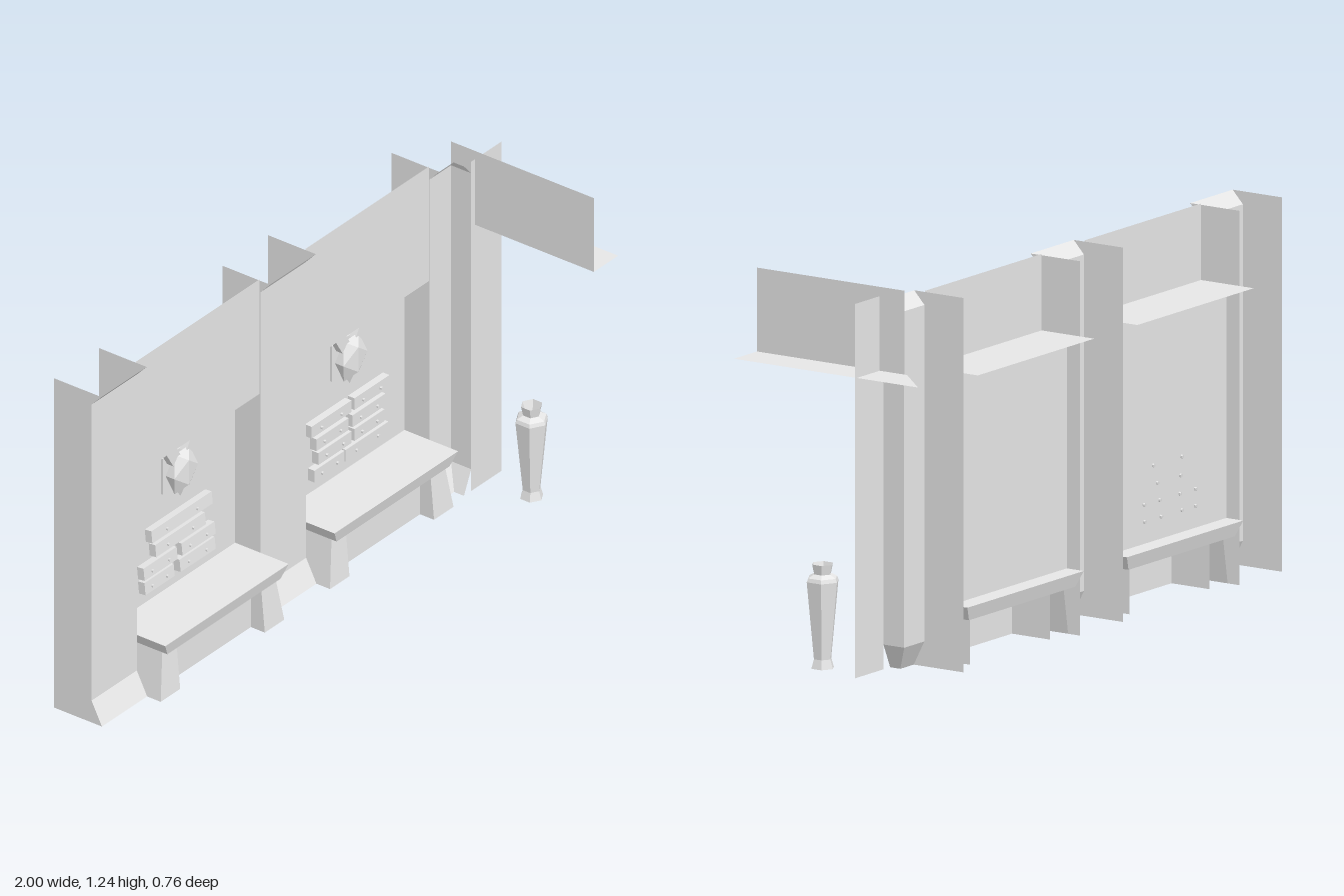
import * as THREE from 'three';

const grey = new THREE.MeshStandardMaterial({ color: 0xe6e6e6, side: THREE.DoubleSide });
grey.name = 'plainGrey';

const TOP = 1.205, WALL = -0.175, BACK = -0.275, REAR = -0.325;
// wall section as [z, y]: skirting, face, cornice
const SECTION = [[-0.134, 0], [WALL, 0.08], [WALL, 1.163], [-0.136, TOP]];

function add(parent, name, geometry, x = 0, y = 0, z = 0) {
  const mesh = new THREE.Mesh(geometry, grey);
  mesh.name = name;
  mesh.position.set(x, y, z);
  parent.add(mesh);
  return mesh;
}

function flat(geometry) {
  const g = geometry.index ? geometry.toNonIndexed() : geometry;
  g.computeVertexNormals();
  return g;
}

// open sheet made of four-cornered faces
function sheet(parent, name, quads) {
  const pos = [];
  for (const [a, b, c, d] of quads) pos.push(...a, ...b, ...c, ...a, ...c, ...d);
  const g = new THREE.BufferGeometry();
  g.setAttribute('position', new THREE.Float32BufferAttribute(pos, 3));
  return add(parent, name, flat(g));
}

// upright sheet facing front
const upright = (parent, name, x0, x1, y0, y1, z) =>
  sheet(parent, name, [[[x0, y0, z], [x1, y0, z], [x1, y1, z], [x0, y1, z]]]);

// level sheet facing up
const level = (parent, name, x0, x1, z0, z1, y) =>
  sheet(parent, name, [[[x0, y, z1], [x1, y, z1], [x1, y, z0], [x0, y, z0]]]);

// wall pier; ends gives its right edge at each section point
function pier(parent, x0, ends) {
  const quads = [];
  for (let i = 0; i < 3; i++) {
    const [z, y] = SECTION[i], [zz, yy] = SECTION[i + 1];
    quads.push([[x0, y, z], [ends[i], y, z], [ends[i + 1], yy, zz], [x0, yy, zz]]);
  }
  sheet(parent, 'wallPier', quads);
}

// side return running back from the wall face
function sideReturn(parent, x) {
  const shape = new THREE.Shape([...SECTION, [REAR, TOP], [REAR, 0]].map(p => new THREE.Vector2(...p)));
  add(parent, 'sideReturn', new THREE.ShapeGeometry(shape).rotateY(-Math.PI / 2), x);
}

function bench(parent, x0, x1) {
  const g = new THREE.Group();
  g.name = 'bench';
  parent.add(g);
  const ring = (y, i, zf, zb) => [[x0 + i, y, zf], [x1 - i, y, zf], [x1 - i, y, zb], [x0 + i, y, zb]];
  const t = ring(0.21, 0, -0.062, -0.34), b = ring(0.163, 0.027, -0.075, -0.327);
  const seat = [t, [...b].reverse()];
  for (let i = 0; i < 4; i++) {
    const j = (i + 1) % 4;
    seat.push([b[i], b[j], t[j], t[i]]);
  }
  sheet(g, 'benchSeat', seat);
  // flared legs, open at the back
  for (const [x, s] of [[x0, 1], [x1, -1]]) {
    const o = x + s * 0.027, n = x + s * 0.1;
    sheet(g, 'benchLeg', [
      [[x, 0, -0.08], [n, 0, -0.08], [n, 0.163, -0.095], [o, 0.163, -0.095]],
      [[x, 0, -0.08], [o, 0.163, -0.095], [o, 0.163, -0.28], [x, 0, -0.28]],
      [[n, 0, -0.08], [n, 0, -0.28], [n, 0.163, -0.28], [n, 0.163, -0.095]],
    ]);
  }
  upright(g, 'benchPanel', x0 + 0.1, x1 - 0.1, 0, 0.163, -0.135);
}

// horned wall ornament
function ornament(parent, x) {
  const g = new THREE.Group();
  g.name = 'wallOrnament';
  g.position.set(x, 0.635, BACK);
  parent.add(g);
  add(g, 'ornamentPlate', new THREE.BoxGeometry(0.13, 0.13, 0.008), 0, 0, 0.005);
  const head = add(g, 'ornamentHead', flat(new THREE.IcosahedronGeometry(1, 0)), 0, 0.005, 0.034);
  head.scale.set(0.072, 0.085, 0.033);
  const chin = add(g, 'ornamentChin', flat(new THREE.ConeGeometry(0.035, 0.05, 4)), 0, -0.068, 0.028);
  chin.rotation.x = Math.PI;
  chin.scale.z = 0.6;
  for (const s of [-1, 1]) {
    const horn = add(g, 'ornamentHorn', new THREE.BoxGeometry(0.045, 0.085, 0.025), s * 0.055, 0.092, 0.028);
    horn.rotation.z = -s * 0.55;
  }
}

// nailed plank on the niche back; nails reach back by the given length
function plank(parent, [x0, x1, y], tilt, reach) {
  const g = new THREE.Group();
  g.name = 'plank';
  g.position.set((x0 + x1) / 2, y, BACK + 0.017);
  g.rotation.x = tilt;
  parent.add(g);
  const w = x1 - x0;
  add(g, 'plankBoard', new THREE.BoxGeometry(w, 0.043, 0.026));
  for (const s of [-1, 1]) {
    const nail = new THREE.CylinderGeometry(0.006, 0.006, 0.02 + reach, 6).rotateX(Math.PI / 2);
    add(g, 'plankNail', flat(nail), s * w * 0.25, -0.004, (0.02 - reach) / 2);
  }
}

export function createModel() {
  const model = new THREE.Group();
  model.name = 'wallWithNiches';

  // piers between the niches
  const niches = [[-0.768, -0.134], [0.101, 0.735]];
  const stepX = [0.808, 0.845, 0.845, 0.808];
  pier(model, -1, Array(4).fill(niches[0][0]));
  pier(model, niches[0][1], Array(4).fill(niches[1][0]));
  pier(model, niches[1][1], stepX);
  for (const x of [-1, ...niches.flat()]) sideReturn(model, x);

  // forward step and end wall
  const step = [];
  for (let i = 0; i < 3; i++) {
    const [z, y] = SECTION[i], [zz, yy] = SECTION[i + 1];
    step.push([[stepX[i], y, z], [stepX[i], y, -0.095], [stepX[i + 1], yy, -0.095], [stepX[i + 1], yy, zz]]);
  }
  sheet(model, 'cornerStep', step);
  upright(model, 'endWall', 0.845, 1, 0, TOP, -0.095);

  // niches rise behind the header to a high soffit
  for (const [x0, x1] of niches) {
    upright(model, 'nicheHeader', x0, x1, 0.79, 1.209, WALL - 0.003);
    level(model, 'nicheSoffit', x0, x1, -0.38, WALL - 0.003, 0.963);
    upright(model, 'nicheBack', x0, x1, 0.165, 0.963, BACK);
    bench(model, x0, x1);
    ornament(model, (x0 + x1) / 2);
  }

  // planks as [left, right, height]
  const leftPlanks = [[-0.6, -0.29, 0.46], [-0.58, -0.325, 0.4], [-0.64, -0.47, 0.342],
    [-0.445, -0.275, 0.342], [-0.635, -0.485, 0.287], [-0.455, -0.275, 0.287]];
  const rightPlanks = [[0.22, 0.425, 0.455], [0.44, 0.62, 0.455], [0.245, 0.41, 0.397], [0.43, 0.6, 0.397],
    [0.255, 0.425, 0.342], [0.44, 0.595, 0.342], [0.235, 0.39, 0.287], [0.395, 0.615, 0.287]];
  for (const p of leftPlanks) plank(model, p, -0.1, 0.024);
  for (const p of rightPlanks) plank(model, p, 0, 0.01);

  // projecting panel with its ledge
  sheet(model, 'projectingPanel', [
    [[0.865, 0.965, 0.376], [0.865, 0.965, -0.19], [0.865, 1.235, -0.19], [0.865, 1.235, 0.376]],
  ]);
  sheet(model, 'projectingLedge', [
    [[0.865, 0.965, 0.376], [0.99, 0.965, 0.376], [0.99, 0.965, -0.33], [0.865, 0.965, -0.2]],
  ]);

  // six-sided vase
  const profile = [[0, 0], [0.039, 0], [0.03, 0.03], [0.055, 0.28], [0.05, 0.292], [0.029, 0.303], [0.036, 0.335], [0.024, 0.3], [0, 0.29]];
  const vase = new THREE.LatheGeometry(profile.map(p => new THREE.Vector2(...p)), 6);
  add(model, 'vase', flat(vase), 0.935, 0, 0.075);

  return model;
}
